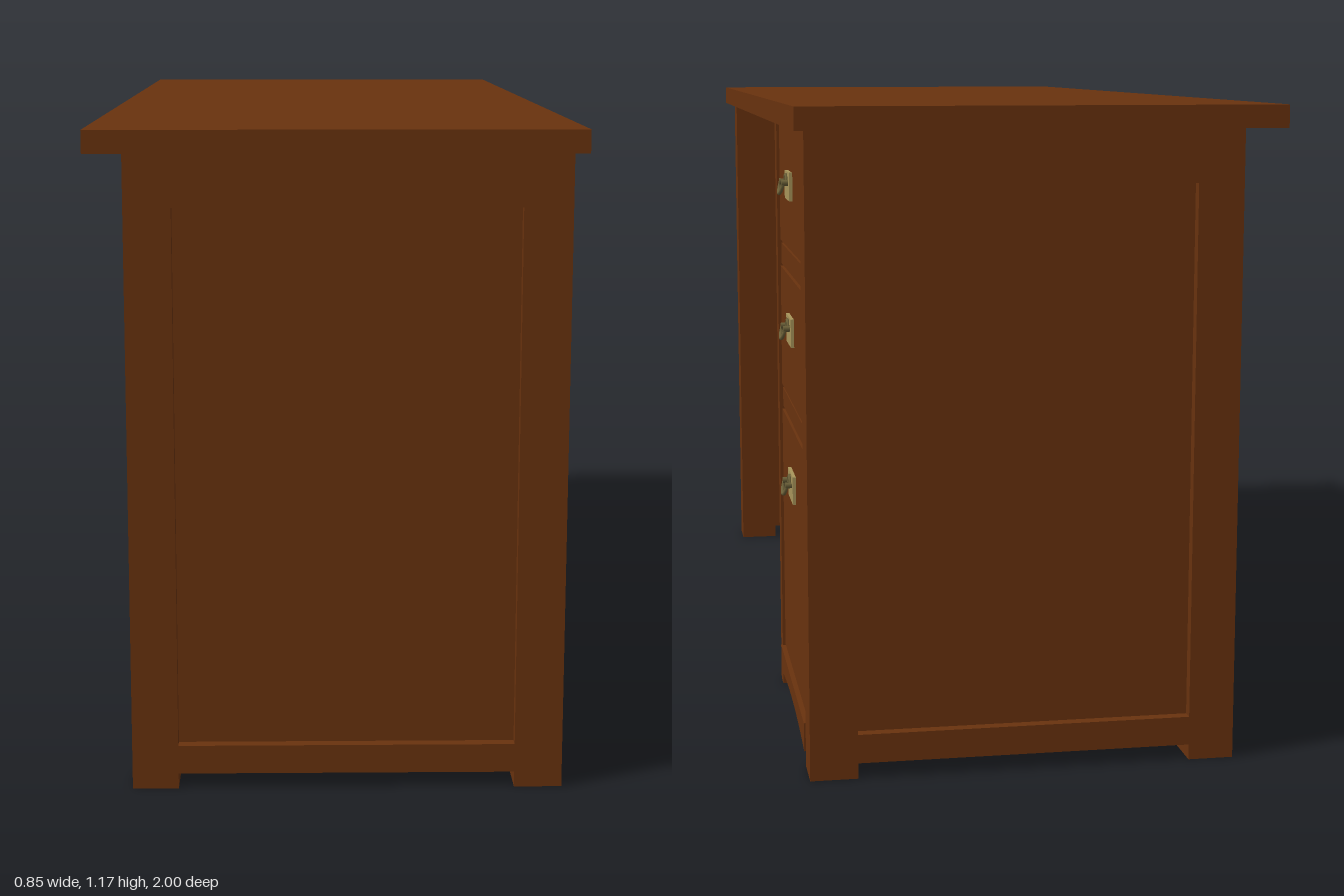
import * as THREE from 'three';

const wood = new THREE.MeshStandardMaterial({ color: 0x69320e });
const brass = new THREE.MeshStandardMaterial({ color: 0xa8955a });
const darkBrass = new THREE.MeshStandardMaterial({ color: 0x6b6038 });

// Box given by its lower and upper limits on each axis
function block(parent, name, [x0, x1], [y0, y1], [z0, z1], material = wood) {
  const mesh = new THREE.Mesh(new THREE.BoxGeometry(x1 - x0, y1 - y0, z1 - z0), material);
  mesh.position.set((x0 + x1) / 2, (y0 + y1) / 2, (z0 + z1) / 2);
  mesh.name = name;
  parent.add(mesh);
  return mesh;
}

const BACK = -0.362, FRONT = 0.405, UNDERSIDE = 1.135;

// Frame-and-panel wall: two legs, two rails and a panel set back from the outer side
function framedWall(name, z0, z1, outward, recess) {
  const wall = new THREE.Group();
  wall.name = name;
  const z = [z0, z1];
  block(wall, 'backLeg', [BACK, -0.28], [0, UNDERSIDE], z);
  block(wall, 'frontLeg', [0.32, FRONT], [0, UNDERSIDE], z);
  block(wall, 'topRail', [-0.28, 0.32], [1.04, UNDERSIDE], z);
  block(wall, 'bottomRail', [-0.28, 0.32], [0.028, 0.08], z);
  block(wall, 'panel', [-0.28, 0.32], [0.08, 1.04],
    outward > 0 ? [z0, z1 - recess] : [z0 + recess, z1]);
  return wall;
}

// Plate with two posts and a hanging bail
function drawerPull(y) {
  const pull = new THREE.Group();
  pull.name = 'drawerPull';
  block(pull, 'plate', [0, 0.006], [-0.026, 0.026], [-0.048, 0.048], brass);
  for (const side of [-1, 1]) {
    const post = new THREE.Mesh(new THREE.CylinderGeometry(0.005, 0.006, 0.014, 12), darkBrass);
    post.rotation.z = Math.PI / 2;
    post.position.set(0.011, 0.006, side * 0.025);
    post.name = 'post';
    pull.add(post);
  }
  const curve = new THREE.CatmullRomCurve3([
    [0.015, 0.006, -0.027], [0.018, -0.006, -0.024], [0.02, -0.013, -0.01],
    [0.02, -0.013, 0.01], [0.018, -0.006, 0.024], [0.015, 0.006, 0.027],
  ].map(p => new THREE.Vector3(...p)));
  const bail = new THREE.Mesh(new THREE.TubeGeometry(curve, 24, 0.0035, 8), darkBrass);
  bail.name = 'bail';
  pull.add(bail);
  const boss = new THREE.Mesh(new THREE.TorusGeometry(0.016, 0.003, 8, 20, Math.PI), darkBrass);
  boss.rotation.y = Math.PI / 2;
  boss.position.set(0.008, 0.004, 0);
  boss.name = 'plateArch';
  pull.add(boss);
  pull.position.set(0.4, y, -0.63);
  return pull;
}

export function createModel() {
  const desk = new THREE.Group();
  desk.name = 'desk';

  block(desk, 'desktop', [-0.425, 0.425], [UNDERSIDE, 1.175], [-1, 1]);

  // Walls
  desk.add(framedWall('kneeEnd', 0.875, 0.955, 1, 0.02));
  desk.add(framedWall('drawerEnd', -0.955, -0.875, -1, 0.02));
  desk.add(framedWall('divider', -0.39, -0.35, 1, 0.015));

  // Back panels
  block(desk, 'kneeBackPanel', [-0.342, -0.322], [0.08, UNDERSIDE], [-0.35, 0.875]);
  block(desk, 'drawerBackPanel', [-0.342, -0.322], [0.08, UNDERSIDE], [-0.875, -0.39]);

  // Rails between the drawers, on both sides of the pedestal
  for (const [y0, y1] of [[0.855, 0.895], [0.572, 0.608]]) {
    block(desk, 'drawerRail', [0.36, 0.398], [y0, y1], [-0.875, -0.39]);
    block(desk, 'backRail', [-0.356, -0.342], [y0, y1], [-0.875, -0.39]);
  }

  // Drawers: dark gaps remain around each front
  const drawers = [[0.902, 1.128, 1.022], [0.616, 0.85, 0.754], [0.084, 0.566, 0.46]];
  block(desk, 'drawerBacking', [0.35, 0.38], [0.08, UNDERSIDE], [-0.875, -0.39]);
  for (const [y0, y1, pullY] of drawers) {
    block(desk, 'drawerFront', [0.38, 0.4], [y0, y1], [-0.87, -0.395]);
    desk.add(drawerPull(pullY));
  }

  // Arched apron below the drawers
  const arch = new THREE.Shape();
  arch.moveTo(0.385, 0.08);
  arch.lineTo(0.385, 0.028);
  arch.quadraticCurveTo(0.63, 0.064, 0.877, 0.028);
  arch.lineTo(0.877, 0.08);
  arch.closePath();
  const apron = new THREE.Mesh(
    new THREE.ExtrudeGeometry(arch, { depth: 0.028, bevelEnabled: false, curveSegments: 20 }), wood);
  apron.rotation.y = Math.PI / 2;
  apron.position.x = 0.38;
  apron.name = 'archedApron';
  desk.add(apron);

  return desk;
}
